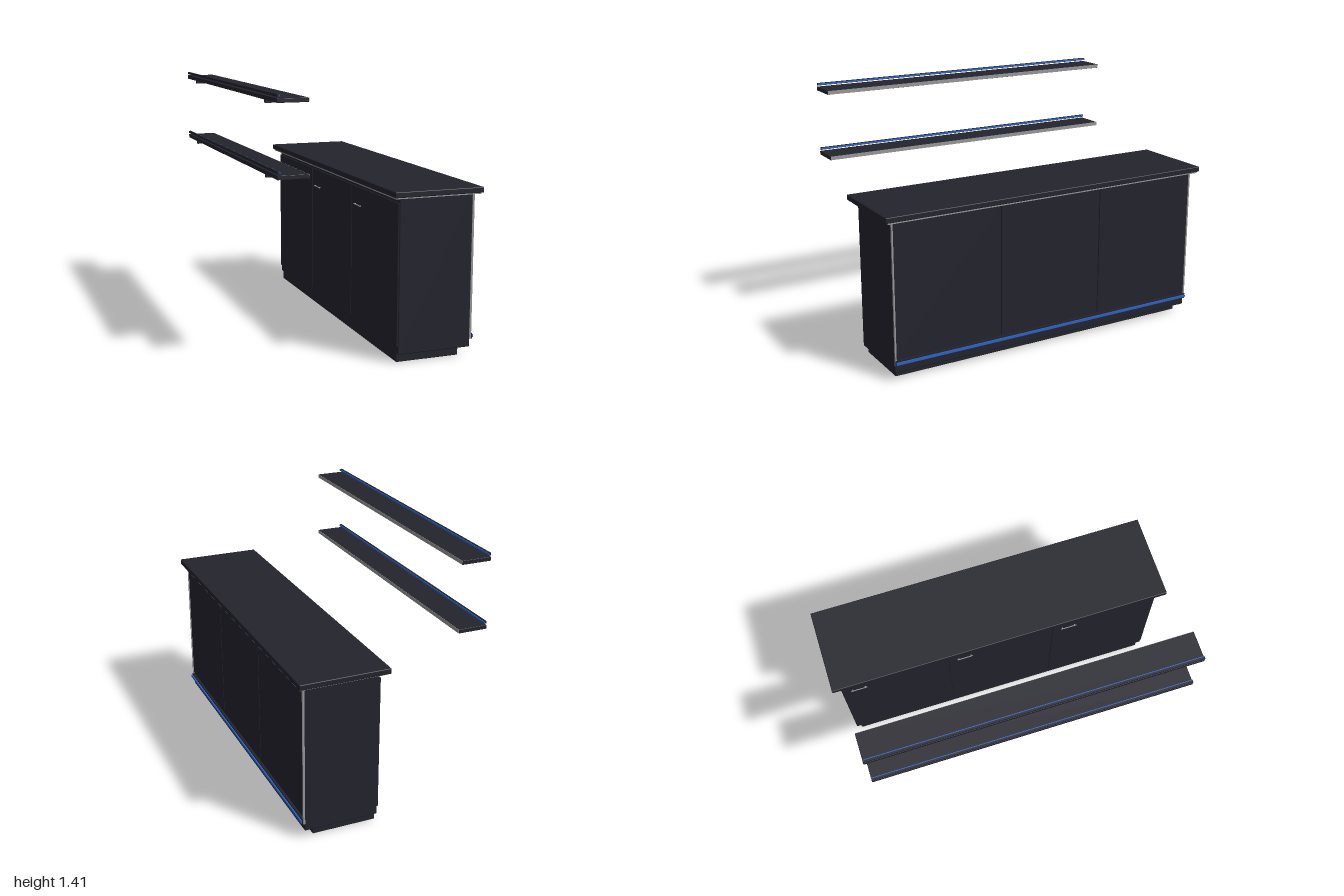
import * as THREE from 'three';
import { RoundedBoxGeometry } from 'three/addons/geometries/RoundedBoxGeometry.js';

const paint = (name, color) => {
  const m = new THREE.MeshStandardMaterial({ color });
  m.name = name;
  return m;
};

export function createModel() {
  const dark = paint('charcoal', 0x23232d);
  const seam = paint('near black', 0x16161c);
  const grey = paint('brushed metal', 0x98989a);
  const blue = paint('blue light', 0x2b62c4);

  // Box given by its extents on each axis; r rounds the edges
  const box = (parent, name, mat, [x0, x1], [y0, y1], [z0, z1], r = 0) => {
    const size = [x1 - x0, y1 - y0, z1 - z0];
    const geo = r ? new RoundedBoxGeometry(...size, 2, r) : new THREE.BoxGeometry(...size);
    const mesh = new THREE.Mesh(geo, mat);
    mesh.name = name;
    mesh.position.set((x0 + x1) / 2, (y0 + y1) / 2, (z0 + z1) / 2);
    parent.add(mesh);
    return mesh;
  };
  const group = (parent, name) => {
    const g = new THREE.Group();
    g.name = name;
    parent.add(g);
    return g;
  };

  const model = new THREE.Group();
  model.name = 'barCounterWithShelves';

  // Counter carcass
  const counter = group(model, 'counter');
  box(counter, 'plinth', dark, [0.09, 0.447], [0, 0.05], [-0.93, 0.93], 0.004);
  box(counter, 'cabinetBody', dark, [0.088, 0.502], [0.047, 0.873], [-0.957, 0.957], 0.006);
  box(counter, 'underTopTrim', grey, [0.052, 0.535], [0.872, 0.881], [-0.985, 0.985]);
  box(counter, 'worktop', dark, [0.045, 0.542], [0.88, 0.91], [-1, 1], 0.004);

  // Three bays: customer-side panels, service-side doors and pulls
  for (let i = 0; i < 3; i++) {
    const z0 = -0.953 + i * 0.6375;
    const z1 = z0 + 0.631;
    box(counter, 'frontPanel', dark, [0.5, 0.506], [0.13, 0.862], [z0, z1]);
    box(counter, 'door', dark, [0.081, 0.09], [0.09, 0.845], [z0, z1], 0.002);
    box(counter, 'doorPull', grey, [0.071, 0.075], [0.742, 0.747], [z0 + 0.05, z0 + 0.145]);
    for (const dz of [0.06, 0.135])
      box(counter, 'pullPost', grey, [0.073, 0.082], [0.742, 0.747], [z0 + dz - 0.003, z0 + dz + 0.003]);
  }

  // Dark shadow gaps between the panels
  for (const z of [-0.319, 0.319])
    box(counter, 'panelGap', seam, [0.5, 0.503], [0.13, 0.862], [z - 0.003, z + 0.003]);

  // Metal corner strips
  for (const s of [-1, 1])
    box(counter, 'cornerStrip', grey, [0.5, 0.511], [0.09, 0.872], [s * 0.954 - 0.004, s * 0.954 + 0.004]);

  // Low light rail
  box(counter, 'lightChannel', dark, [0.5, 0.516], [0.09, 0.12], [-0.957, 0.957]);
  box(counter, 'lightStrip', blue, [0.515, 0.524], [0.098, 0.112], [-0.955, 0.955]);

  // Two wall shelves with brackets and rear light rails
  for (const y of [0.992, 1.367]) {
    const shelf = group(model, 'wallShelf');
    box(shelf, 'shelfBoard', dark, [-0.546, -0.382], [y, y + 0.022], [-0.916, 0.916], 0.002);
    box(shelf, 'shelfEdge', grey, [-0.384, -0.38], [y + 0.001, y + 0.021], [-0.914, 0.914]);
    box(shelf, 'shelfLightChannel', dark, [-0.546, -0.535], [y + 0.029, y + 0.042], [-0.914, 0.914]);
    box(shelf, 'shelfLightStrip', blue, [-0.536, -0.53], [y + 0.031, y + 0.04], [-0.914, 0.914]);
    for (const z of [-0.71, 0.71])
      box(shelf, 'shelfBracket', dark, [-0.542, -0.486], [y - 0.016, y + 0.001], [z - 0.013, z + 0.013]);
  }

  return model;
}
